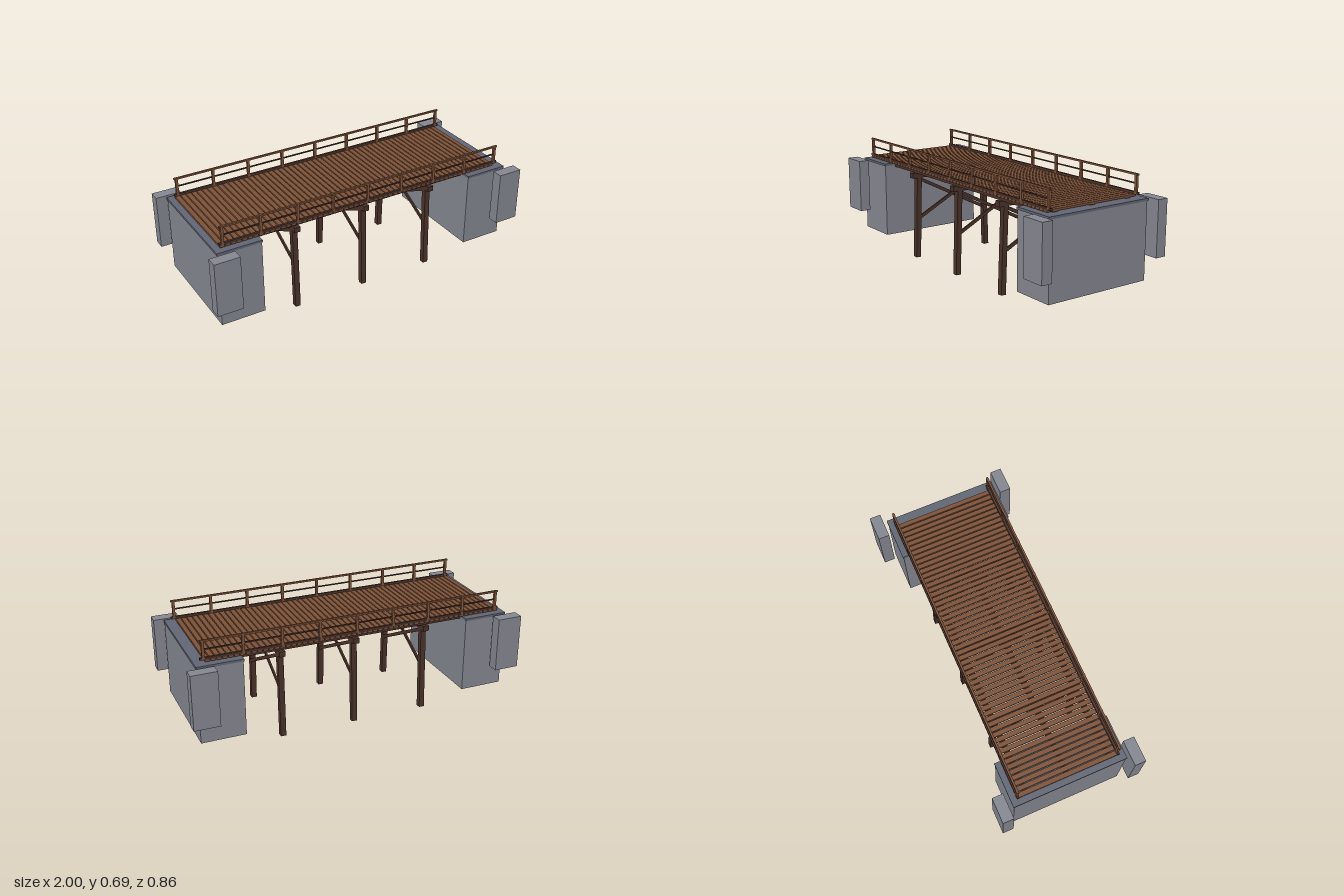
import * as THREE from 'three';

export function createModel() {
  const model = new THREE.Group();
  const material = (name, color) => {
    const m = new THREE.MeshStandardMaterial({ color });
    m.name = name;
    return m;
  };
  const concrete = material('concrete', 0x858791);
  const capStone = material('dark cap stone', 0x626775);
  const plankWood = material('plank wood', 0x7d5239);
  const darkWood = material('dark timber', 0x4b322a);

  const box = (name, mat, [w, h, d], [x, y, z], parent = model) => {
    const mesh = new THREE.Mesh(new THREE.BoxGeometry(w, h, d), mat);
    mesh.name = name;
    mesh.position.set(x, y, z);
    parent.add(mesh);
    return mesh;
  };

  // Timber running between two points in a plane of constant x
  const timber = (name, width, depth, x, [z0, y0], [z1, y1], parent) => {
    const dz = z1 - z0, dy = y1 - y0;
    const mesh = box(name, darkWood, [width, Math.hypot(dz, dy), depth],
      [x, (y0 + y1) / 2, (z0 + z1) / 2], parent);
    mesh.rotation.x = Math.atan2(dz, dy);
    return mesh;
  };

  // Abutments with caps and detached wing walls
  for (const s of [-1, 1]) {
    box('abutment', concrete, [0.26, 0.447, 0.672], [s * 0.81, 0.3235, 0]);
    box('abutmentCap', capStone, [0.265, 0.014, 0.682], [s * 0.81, 0.554, 0]);
    for (const t of [-1, 1]) {
      box('wingWall', concrete, [0.15, 0.325, 0.066], [s * 0.923, 0.3975, t * 0.395]);
    }
  }

  // Girders under the deck
  for (const z of [-0.25, 0, 0.25]) {
    box('girder', darkWood, [1.76, 0.03, 0.032], [0, 0.551, z]);
  }

  // Deck planks with narrow gaps
  const deck = new THREE.Group();
  deck.name = 'deck';
  model.add(deck);
  const planks = 55, pitch = 1.795 / planks;
  for (let i = 0; i < planks; i++) {
    box('plank', plankWood, [pitch - 0.006, 0.012, 0.612],
      [-0.91 + (i + 0.5) * pitch, 0.572, 0], deck);
  }

  // Kerb and railing on each side
  for (const s of [-1, 1]) {
    const railing = new THREE.Group();
    railing.name = 'railing';
    railing.position.z = s * 0.3;
    model.add(railing);
    box('kerb', darkWood, [1.82, 0.014, 0.013], [0, 0.585, 0], railing);
    box('topRail', plankWood, [1.81, 0.01, 0.012], [0, 0.687, 0], railing);
    box('middleRail', darkWood, [1.79, 0.007, 0.007], [0, 0.638, 0], railing);
    for (let i = -4; i <= 4; i++) {
      box('railPost', plankWood, [0.015, 0.113, 0.015], [i * 0.2225, 0.6345, 0], railing);
    }
  }

  // Trestle bents: raking legs, cap beam and crossed braces
  for (const x of [-0.443, 0, 0.443]) {
    const bent = new THREE.Group();
    bent.name = 'trestleBent';
    bent.position.x = x;
    model.add(bent);
    box('capBeam', darkWood, [0.036, 0.032, 0.58], [0, 0.521, 0], bent);
    for (const s of [-1, 1]) {
      timber('leg', 0.032, 0.032, 0, [s * 0.259, 0.001], [s * 0.242, 0.52], bent);
      timber('crossBrace', 0.01, 0.02, s * 0.01, [s * 0.25, 0.25], [-s * 0.24, 0.5], bent);
    }
  }

  return model;
}
